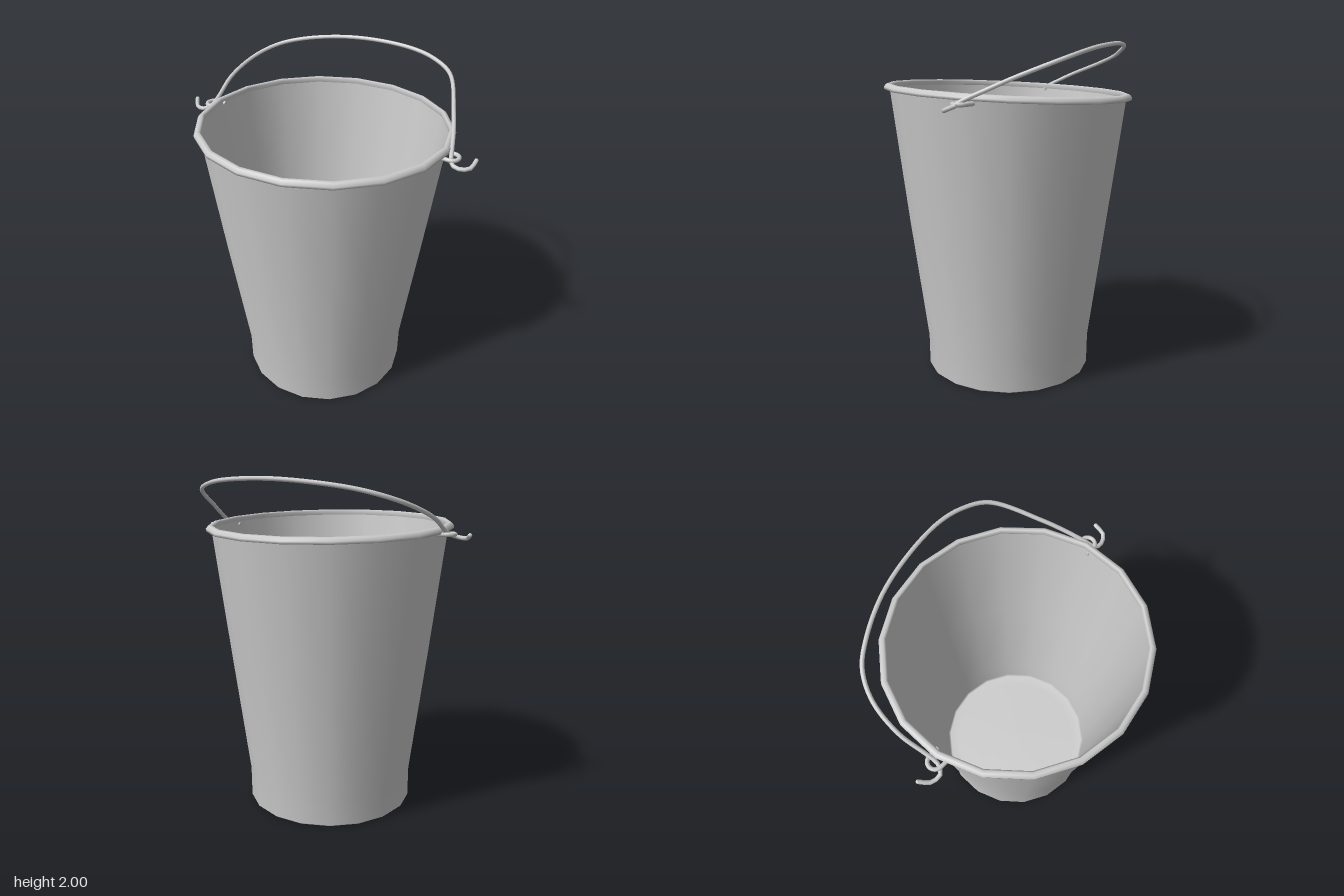
import * as THREE from 'three';

const SIDES = 18;
const material = new THREE.MeshStandardMaterial({ color: 0xcccccc, side: THREE.DoubleSide });

function lathe(name, profile) {
  const points = profile.map(([r, y]) => new THREE.Vector2(r, y));
  const geometry = new THREE.LatheGeometry(points, SIDES, Math.PI / SIDES);
  // tilt everything near the mouth a little, so the rim sits crooked
  const pos = geometry.attributes.position;
  for (let i = 0; i < pos.count; i++) {
    if (pos.getY(i) > 1.5) {
      pos.setY(i, pos.getY(i) - 0.042 * pos.getX(i) + 0.018 * pos.getZ(i));
    }
  }
  const mesh = new THREE.Mesh(geometry, material);
  mesh.name = name;
  return mesh;
}

function wire(name, points, radius, steps) {
  const curve = new THREE.CatmullRomCurve3(points.map((p) => new THREE.Vector3(...p)));
  const group = new THREE.Group();
  group.name = name;
  group.add(new THREE.Mesh(new THREE.TubeGeometry(curve, steps, radius, 8), material));
  // rounded ends
  for (const t of [0, 1]) {
    const cap = new THREE.Mesh(new THREE.SphereGeometry(radius, 8, 6), material);
    cap.position.copy(curve.getPoint(t));
    group.add(cap);
  }
  return group;
}

export function createModel() {
  const bucket = new THREE.Group();
  bucket.name = 'bucket';

  // thin wall and floor in one sheet, with a straight foot
  bucket.add(lathe('body', [
    [0, 0.008], [0.42, 0.008], [0.49, 0.004], [0.503, 0.015],
    [0.505, 0.2], [0.603, 0.95], [0.697, 1.705],
  ]));

  // rolled lip
  bucket.add(lathe('rim', [
    [0.697, 1.7], [0.69, 1.725], [0.7, 1.736], [0.717, 1.732],
    [0.73, 1.715], [0.728, 1.7], [0.697, 1.7],
  ]));

  // bail handle: front hook, lopsided arch, back hook
  bucket.add(wire('handle', [
    [0.18, 1.69, 0.85], [0.12, 1.668, 0.848], [0.09, 1.663, 0.8], [0.095, 1.675, 0.75],
    [0.14, 1.705, 0.725],
    [0.25, 1.76, 0.67], [0.37, 1.82, 0.6], [0.6, 1.925, 0.44], [0.66, 1.963, 0.3],
    [0.68, 1.982, 0.14], [0.65, 1.989, -0.115], [0.59, 1.975, -0.345], [0.49, 1.945, -0.55],
    [0.4, 1.91, -0.67], [0.26, 1.86, -0.745], [0.07, 1.79, -0.765], [-0.09, 1.715, -0.735],
    [-0.15, 1.69, -0.728],
    [-0.195, 1.672, -0.755], [-0.19, 1.668, -0.815], [-0.145, 1.69, -0.86],
  ], 0.012, 90));

  // half-ring ears that carry the handle
  for (const side of [1, -1]) {
    const ear = new THREE.Mesh(new THREE.TorusGeometry(0.04, 0.012, 8, 16, Math.PI), material);
    ear.name = side > 0 ? 'frontEar' : 'backEar';
    ear.rotation.x = side * Math.PI / 2;
    ear.position.set(side * 0.135, 1.69, side * 0.73);
    bucket.add(ear);
    // short legs joining the ear to the wall
    for (const dx of [-0.04, 0.04]) {
      const leg = new THREE.Mesh(new THREE.CylinderGeometry(0.012, 0.012, 0.06, 8), material);
      leg.name = ear.name + 'Leg';
      leg.rotation.x = Math.PI / 2;
      leg.position.set(side * 0.135 + dx, 1.69, side * 0.702);
      bucket.add(leg);
    }
  }
  return bucket;
}
